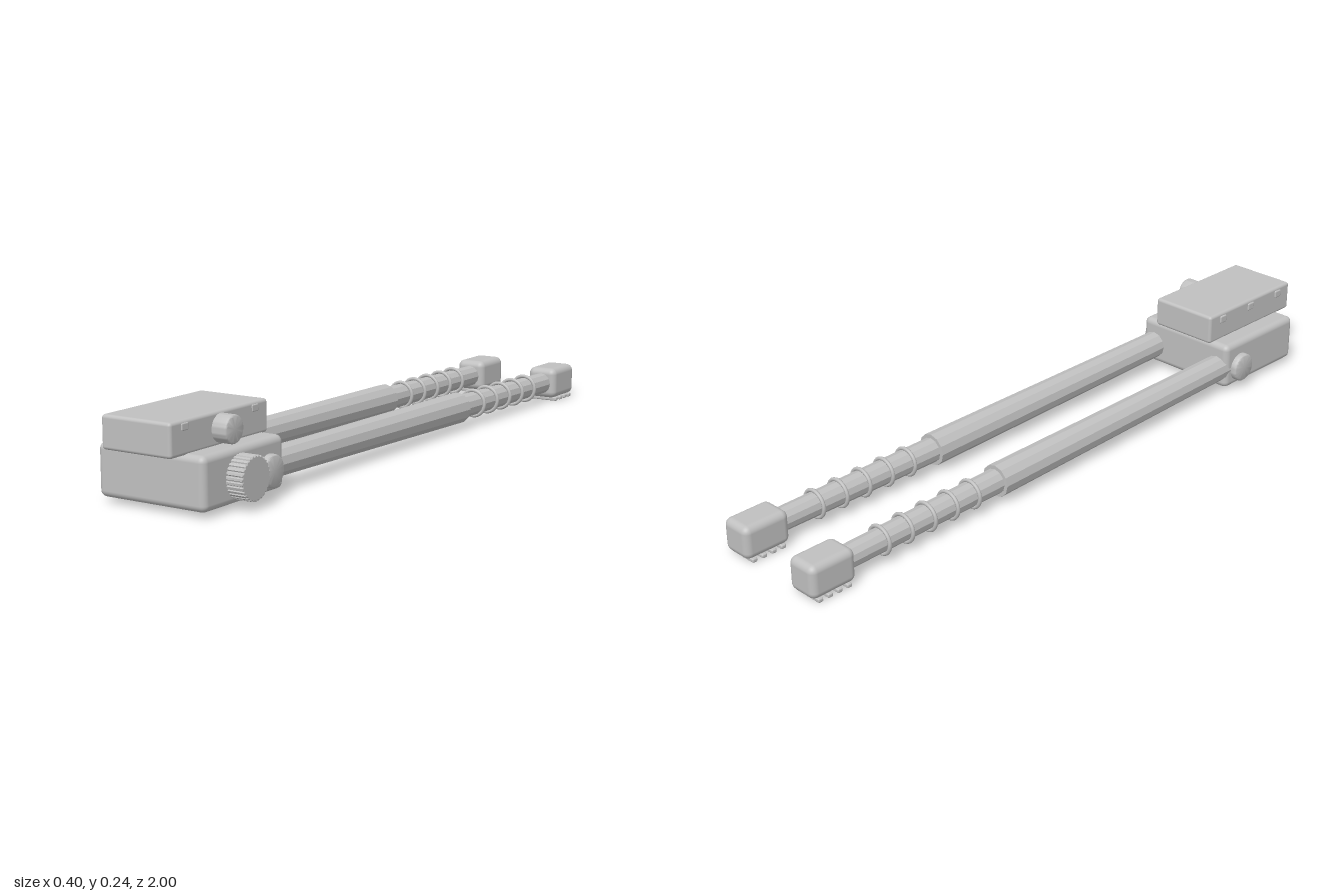
import * as THREE from 'three';
import { RoundedBoxGeometry } from 'three/addons/geometries/RoundedBoxGeometry.js';
import { toCreasedNormals } from 'three/addons/utils/BufferGeometryUtils.js';

const grey = new THREE.MeshStandardMaterial({ color: 0xc0c0c0 });
grey.name = 'grey';

function add(parent, name, geometry, x = 0, y = 0, z = 0) {
  const mesh = new THREE.Mesh(geometry, grey);
  mesh.name = name;
  mesh.position.set(x, y, z);
  parent.add(mesh);
  return mesh;
}

// Rounded box given by its limits on each axis
function box(parent, name, [x0, x1], [y0, y1], [z0, z1], radius) {
  const g = new RoundedBoxGeometry(x1 - x0, y1 - y0, z1 - z0, 4, radius);
  return add(parent, name, g, (x0 + x1) / 2, (y0 + y1) / 2, (z0 + z1) / 2);
}

// Round button along x with softened rims
function button(parent, name, x0, x1, y, z, r, bevel) {
  const h = (x1 - x0) / 2;
  const points = [new THREE.Vector2(0, -h)];
  for (const [side, from] of [[-1, -90], [1, 0]]) {
    for (let i = 0; i <= 4; i++) {
      const a = THREE.MathUtils.degToRad(from + i * 22.5);
      points.push(new THREE.Vector2(r - bevel + Math.cos(a) * bevel, side * (h - bevel) + Math.sin(a) * bevel));
    }
  }
  points.push(new THREE.Vector2(0, h));
  const g = toCreasedNormals(new THREE.LatheGeometry(points, 40), 0.6);
  g.rotateZ(-Math.PI / 2);
  return add(parent, name, g, (x0 + x1) / 2, y, z);
}

// Knurled wheel along x
function knurledKnob(parent, x0, x1, y, z, r) {
  const ribs = 30;
  const shape = new THREE.Shape();
  for (let i = 0; i < ribs; i++) {
    [[0.08, 0.95], [0.25, 1], [0.75, 1], [0.92, 0.95]].forEach(([t, k], j) => {
      const a = ((i + t) / ribs) * Math.PI * 2;
      const method = i + j === 0 ? 'moveTo' : 'lineTo';
      shape[method](Math.cos(a) * r * k, Math.sin(a) * r * k);
    });
  }
  shape.closePath();
  const bevel = 0.002;
  const g = new THREE.ExtrudeGeometry(shape, {
    depth: x1 - x0 - 2 * bevel, bevelEnabled: true, bevelSize: bevel,
    bevelOffset: -bevel, bevelThickness: bevel, bevelSegments: 1,
  });
  g.translate(0, 0, bevel);
  g.rotateY(Math.PI / 2);
  add(parent, 'knurledKnob', g, x0, y, z);
}

// Faceted tube between two points
function tube(parent, name, a, b, ra, rb) {
  const dir = b.clone().sub(a);
  const g = toCreasedNormals(new THREE.CylinderGeometry(rb, ra, dir.length(), 12), 0.2);
  const mesh = add(parent, name, g);
  mesh.position.copy(a).add(b).multiplyScalar(0.5);
  mesh.quaternion.setFromUnitVectors(new THREE.Vector3(0, 1, 0), dir.normalize());
}

function leg(parent, name, topX, midX, footX) {
  const group = new THREE.Group();
  group.name = name;
  parent.add(group);
  const top = new THREE.Vector3(topX, 0.074, 0.69);
  const mid = new THREE.Vector3(midX, 0.062, -0.325);
  const end = new THREE.Vector3(footX, 0.057, -0.88);
  tube(group, 'upperTube', top, mid, 0.04, 0.047);
  tube(group, 'lowerTube', mid, end, 0.036, 0.033);
  // Raised rings on the lower tube
  for (let i = 0; i < 5; i++) {
    const z = -0.42 - i * 0.08;
    const p = mid.clone().lerp(end, (z - mid.z) / (end.z - mid.z));
    add(group, 'ring', new THREE.TorusGeometry(0.039, 0.0055, 8, 32), p.x, p.y, p.z);
  }
  // Foot with gripping bars
  box(group, 'foot', [footX - 0.048, footX + 0.048], [0.01, 0.106], [-1, -0.857], 0.02);
  for (let i = 0; i < 4; i++) {
    const z = -0.882 - i * 0.031;
    box(group, 'gripBar', [footX - 0.047, footX + 0.047], [0, 0.012], [z - 0.008, z + 0.008], 0.004);
  }
}

export function createModel() {
  const model = new THREE.Group();
  model.name = 'twoLeggedStand';

  // Main housing and upper case
  box(model, 'housing', [-0.182, 0.151], [0.014, 0.154], [0.622, 0.95], 0.018);
  box(model, 'upperCase', [-0.123, 0.092], [0.15, 0.238], [0.61, 1], 0.009);

  // Small catches along both sides of the upper case
  for (const z of [0.67, 0.805, 0.94]) {
    box(model, 'leftCatch', [-0.127, -0.115], [0.205, 0.228], [z - 0.014, z + 0.014], 0.004);
  }
  for (const z of [0.665, 0.945]) {
    box(model, 'rightCatch', [0.084, 0.0945], [0.212, 0.231], [z - 0.013, z + 0.013], 0.003);
  }

  // Knobs and leg pivots
  button(model, 'upperKnob', 0.085, 0.136, 0.195, 0.805, 0.037, 0.006);
  knurledKnob(model, 0.145, 0.2, 0.081, 0.807, 0.058);
  button(model, 'pivotCap', 0.135, 0.17, 0.072, 0.688, 0.043, 0.008);
  button(model, 'pivotCap', -0.202, -0.165, 0.071, 0.688, 0.043, 0.008);

  leg(model, 'rightLeg', -0.143, -0.146, -0.149);
  leg(model, 'leftLeg', 0.107, 0.109, 0.116);
  return model;
}
